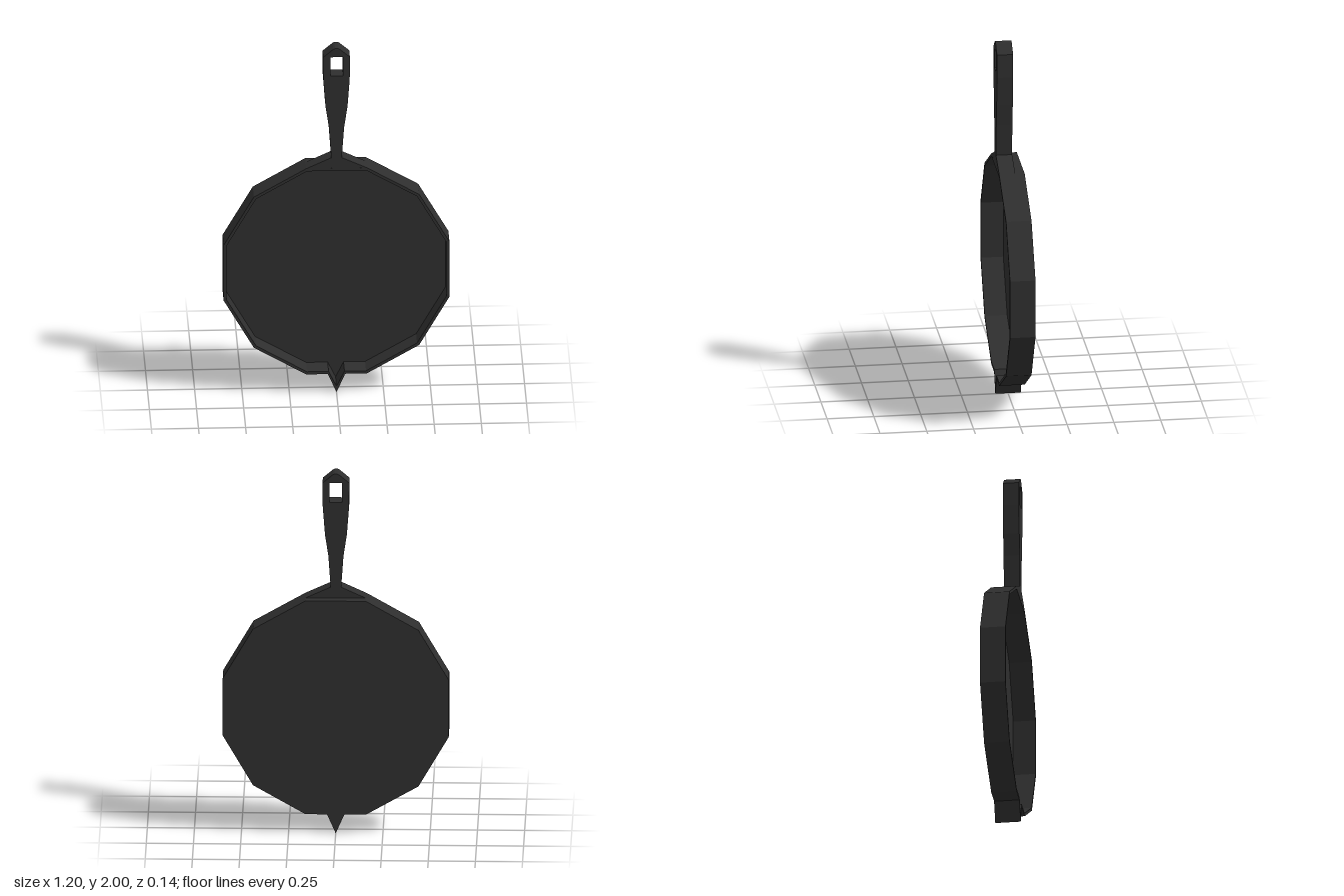
import * as THREE from 'three';

const FRONT = 0.068, BACK = -0.068, FLOOR = -0.052;
const CENTRE_Y = 0.705;

// Twelve-sided pan outline with a pointed pouring lip at the bottom
function panPoints(radius, lipHalf, lipTip) {
  const pts = [];
  for (let i = 0; i < 12; i++) {
    const a = THREE.MathUtils.degToRad(-75 + i * 30);
    pts.push(new THREE.Vector2(Math.cos(a) * radius, CENTRE_Y + Math.sin(a) * radius));
  }
  const flat = pts[0].y;
  pts.push(new THREE.Vector2(-lipHalf, flat), new THREE.Vector2(0, lipTip), new THREE.Vector2(lipHalf, flat));
  return pts;
}

// Straight extrusion between two z planes
function slab(name, shape, z0, z1, material) {
  const geo = new THREE.ExtrudeGeometry(shape, { depth: z1 - z0, bevelEnabled: false });
  geo.translate(0, 0, z0);
  const mesh = new THREE.Mesh(geo, material);
  mesh.name = name;
  return mesh;
}

export function createModel() {
  const group = new THREE.Group();
  group.name = 'fryingPan';
  const iron = new THREE.MeshStandardMaterial({ color: 0x2e2e2e, flatShading: true });

  const outer = panPoints(0.62, 0.046, 0);
  const inner = panPoints(0.604, 0.042, 0.035);

  // Thin side wall with the lip channel
  const wall = new THREE.Shape(outer);
  wall.holes.push(new THREE.Path(inner));
  group.add(slab('sideWall', wall, FLOOR, FRONT, iron));

  // Cooking surface and underside
  group.add(slab('panBase', new THREE.Shape(outer), BACK, FLOOR, iron));

  // Handle: flared collar, narrow neck, wide grip and pointed end
  const half = [
    [0.16, 1.304], [0.028, 1.365], [0.04, 1.54], [0.058, 1.66],
    [0.07, 1.82], [0.071, 1.95], [0.018, 1.995], [0.008, 2],
  ];
  const right = half.map(([x, y]) => new THREE.Vector2(x, y));
  const left = half.map(([x, y]) => new THREE.Vector2(-x, y)).reverse();
  const handle = new THREE.Shape([...right, ...left]);

  // Hanging hole
  handle.holes.push(new THREE.Path([
    new THREE.Vector2(-0.033, 1.84), new THREE.Vector2(-0.033, 1.95),
    new THREE.Vector2(0.035, 1.95), new THREE.Vector2(0.035, 1.84),
  ]));
  group.add(slab('handle', handle, -0.018, FRONT, iron));

  return group;
}
